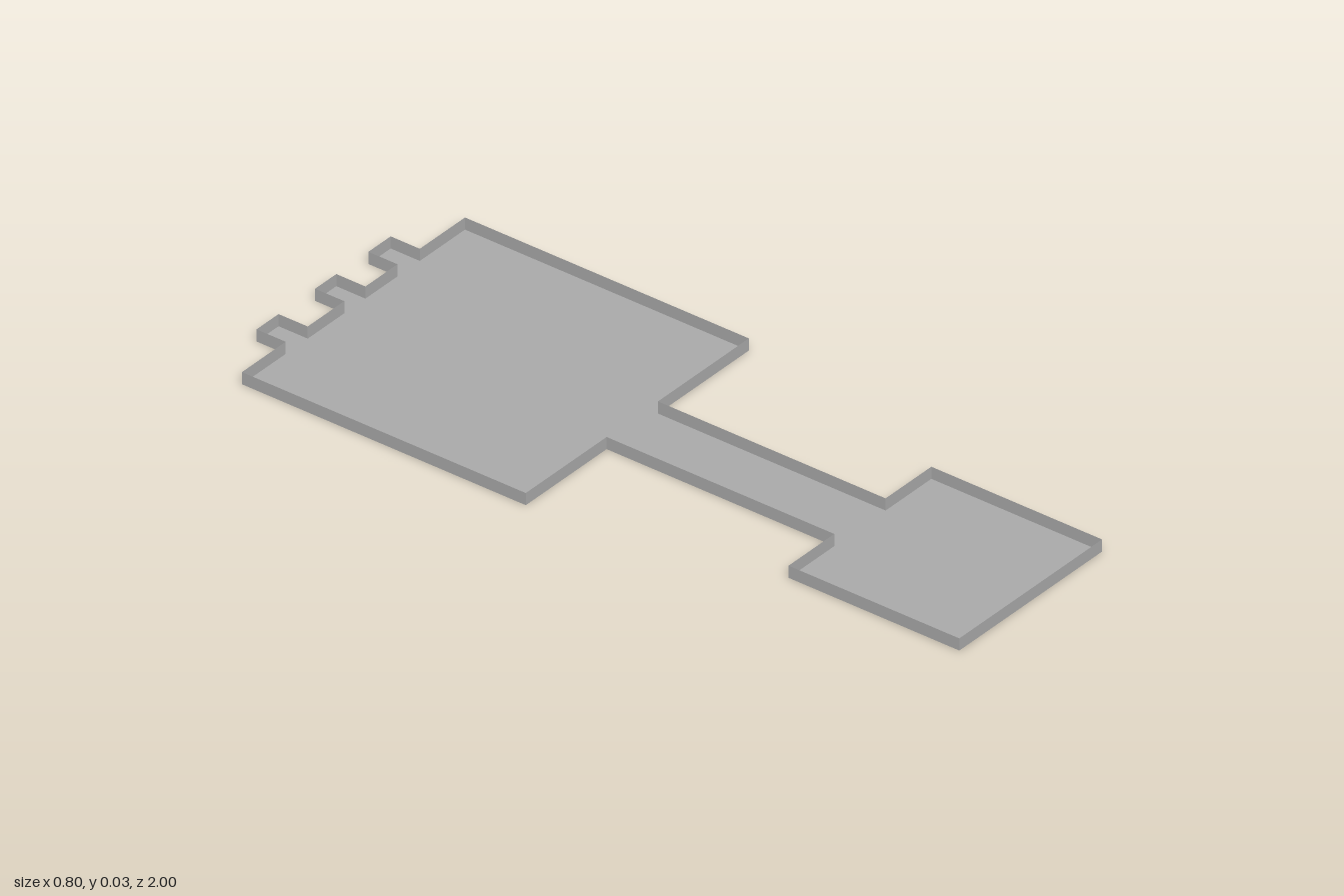
import * as THREE from 'three';
import { mergeGeometries } from 'three/addons/utils/BufferGeometryUtils.js';

const WALL_HEIGHT = 0.032;

// Plan outline as [x, z] corners: large room with back alcoves, corridor, small room
function planOutline() {
  const backZ = -0.918, alcoveZ = -1;
  const alcoves = [[-0.243, -0.164], [-0.033, 0.043], [0.158, 0.238]];
  const points = [[-0.4, backZ]];
  for (const [x0, x1] of alcoves) {
    points.push([x0, backZ], [x0, alcoveZ], [x1, alcoveZ], [x1, backZ]);
  }
  points.push(
    [0.4, backZ], [0.4, -0.12], [0.074, -0.12], [0.074, 0.52],
    [0.238, 0.52], [0.238, 1], [-0.274, 1], [-0.274, 0.52],
    [-0.11, 0.52], [-0.11, -0.12], [-0.4, -0.12],
  );
  return points;
}

// Upright thin panel between two plan corners
function wallPanel([x0, z0], [x1, z1]) {
  const panel = new THREE.PlaneGeometry(Math.hypot(x1 - x0, z1 - z0), WALL_HEIGHT);
  panel.rotateY(Math.atan2(z1 - z0, -(x1 - x0)));
  panel.translate((x0 + x1) / 2, WALL_HEIGHT / 2, (z0 + z1) / 2);
  return panel;
}

export function createModel() {
  const group = new THREE.Group();
  group.name = 'floorPlan';
  const grey = new THREE.MeshStandardMaterial({ color: 0xaaaaaa, side: THREE.DoubleSide });
  grey.name = 'grey';

  const outline = planOutline();

  // Floor slab, laid flat on the ground
  const shape = new THREE.Shape(outline.map(([x, z]) => new THREE.Vector2(x, -z)));
  const floor = new THREE.Mesh(new THREE.ShapeGeometry(shape).rotateX(-Math.PI / 2), grey);
  floor.name = 'floor';

  // Low walls along every edge of the plan
  const panels = outline.map((corner, i) => wallPanel(corner, outline[(i + 1) % outline.length]));
  const walls = new THREE.Mesh(mergeGeometries(panels), grey);
  walls.name = 'walls';

  group.add(floor, walls);
  return group;
}
